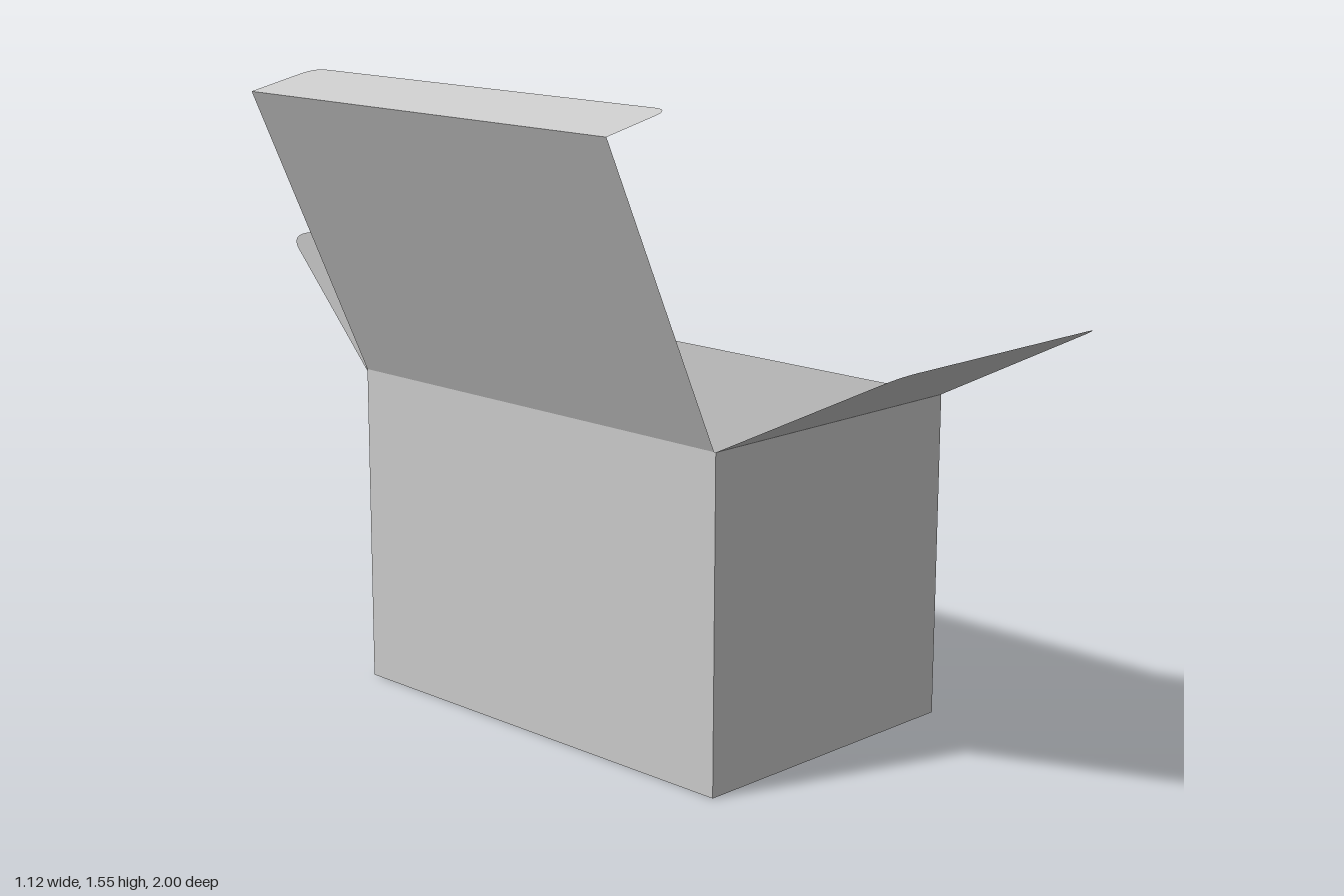
import * as THREE from 'three';

const material = new THREE.MeshStandardMaterial({ color: 0xcccccc, side: THREE.DoubleSide });

// Box extents
const X0 = -0.232, X1 = 0.556, Z0 = -0.65, Z1 = 0.53, H = 0.8;

// Flat card sheet hinged from corner a to corner b and reaching out by the vector out.
// inset narrows the free edge, r rounds its two corners.
function panel(name, a, b, out, inset = 0, r = 0) {
  const start = new THREE.Vector3(...a);
  const u = new THREE.Vector3(...b).sub(start);
  const v = new THREE.Vector3(...out);
  const w = u.length(), h = v.length();
  const slope = inset * (h - r) / h;
  const shape = new THREE.Shape();
  shape.moveTo(0, 0);
  shape.lineTo(w, 0);
  if (r > 0) {
    shape.lineTo(w - slope, h - r);
    shape.quadraticCurveTo(w - inset, h, w - inset - r, h);
    shape.lineTo(inset + r, h);
    shape.quadraticCurveTo(inset, h, slope, h - r);
  } else {
    shape.lineTo(w - inset, h);
    shape.lineTo(inset, h);
  }
  shape.closePath();
  u.normalize();
  v.normalize();
  const basis = new THREE.Matrix4().makeBasis(u, v, u.clone().cross(v)).setPosition(start);
  const mesh = new THREE.Mesh(new THREE.ShapeGeometry(shape, 8).applyMatrix4(basis), material);
  mesh.name = name;
  return mesh;
}

export function createModel() {
  const model = new THREE.Group();
  model.name = 'openCarton';
  const up = [0, H, 0];

  // Carton body, open at the top
  model.add(
    panel('bottom', [X0, 0, Z1], [X1, 0, Z1], [0, 0, Z0 - Z1]),
    panel('frontWall', [X0, 0, Z1], [X1, 0, Z1], up),
    panel('backWall', [X1, 0, Z0], [X0, 0, Z0], up),
    panel('leftWall', [X1, 0, Z1], [X1, 0, Z0], up),
    panel('rightWall', [X0, 0, Z0], [X0, 0, Z1], up),
  );

  // Dust flaps folded outwards at front and back
  model.add(
    panel('frontFlap', [X0, H, Z1], [X1, H, Z1], [0, 0.235, 0.47], 0.043, 0.055),
    panel('backFlap', [X1, H - 0.005, Z0], [X0, H - 0.005, Z0], [0, 0.295, -0.35], 0.045, 0.05),
  );

  // Lid leaning back, with its tuck flap folded towards the box
  const lidX = -0.56, lidY = 1.515;
  model.add(
    panel('lid', [X0, H, Z0], [X0, H, Z1 - 0.005], [lidX - X0, lidY - H, 0]),
    panel('tuckFlap', [lidX, lidY, Z0], [lidX, lidY, Z1 - 0.005], [0.187, 0.04, 0], 0.002, 0.045),
  );
  return model;
}
